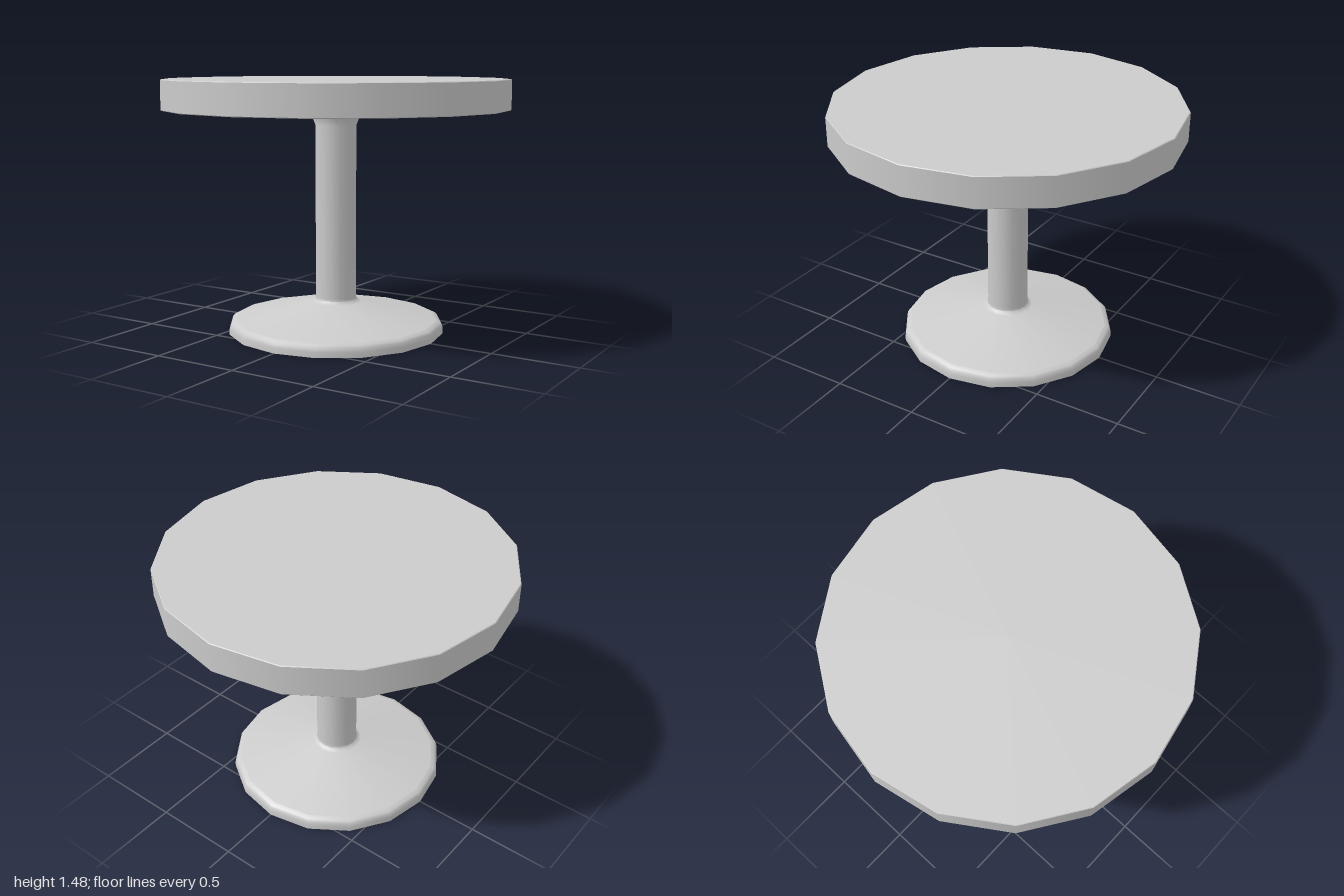
import * as THREE from 'three';
import { mergeGeometries } from 'three/addons/utils/BufferGeometryUtils.js';

const SIDES = 16;
const material = new THREE.MeshStandardMaterial({ color: 0xcccccc });

// Turned part: each profile (radius, height pairs) is smooth, with a sharp edge between profiles.
function turned(name, profiles) {
  const parts = profiles.map((profile) =>
    new THREE.LatheGeometry(profile.map(([r, y]) => new THREE.Vector2(r, y)), SIDES));
  const mesh = new THREE.Mesh(mergeGeometries(parts), material);
  mesh.name = name;
  return mesh;
}

export function createModel() {
  const table = new THREE.Group();
  table.name = 'pedestalTable';

  // Round foot: flat underside, rounded rim, shallow cone rising to the column
  table.add(turned('foot', [
    [[0, 0], [0.633, 0]],
    [[0.633, 0], [0.633, 0.03], [0.628, 0.052], [0.617, 0.065], [0.595, 0.074]],
    [[0.595, 0.074], [0.15, 0.172], [0.133, 0.178], [0.124, 0.19]],
  ]));

  // Column with a flared collar under the top
  table.add(turned('column', [
    [[0.124, 0.19], [0.12, 0.205], [0.12, 1.21], [0.145, 1.27]],
    [[0.145, 1.27], [0.165, 1.284], [0.205, 1.297], [0.215, 1.3]],
  ]));

  // Tabletop: thick disc with a fine bevel on both edges
  table.add(turned('tabletop', [
    [[0, 1.3], [0.996, 1.3]],
    [[0.996, 1.3], [1, 1.304]],
    [[1, 1.304], [1, 1.471]],
    [[1, 1.471], [0.996, 1.475]],
    [[0.996, 1.475], [0, 1.475]],
  ]));

  return table;
}
